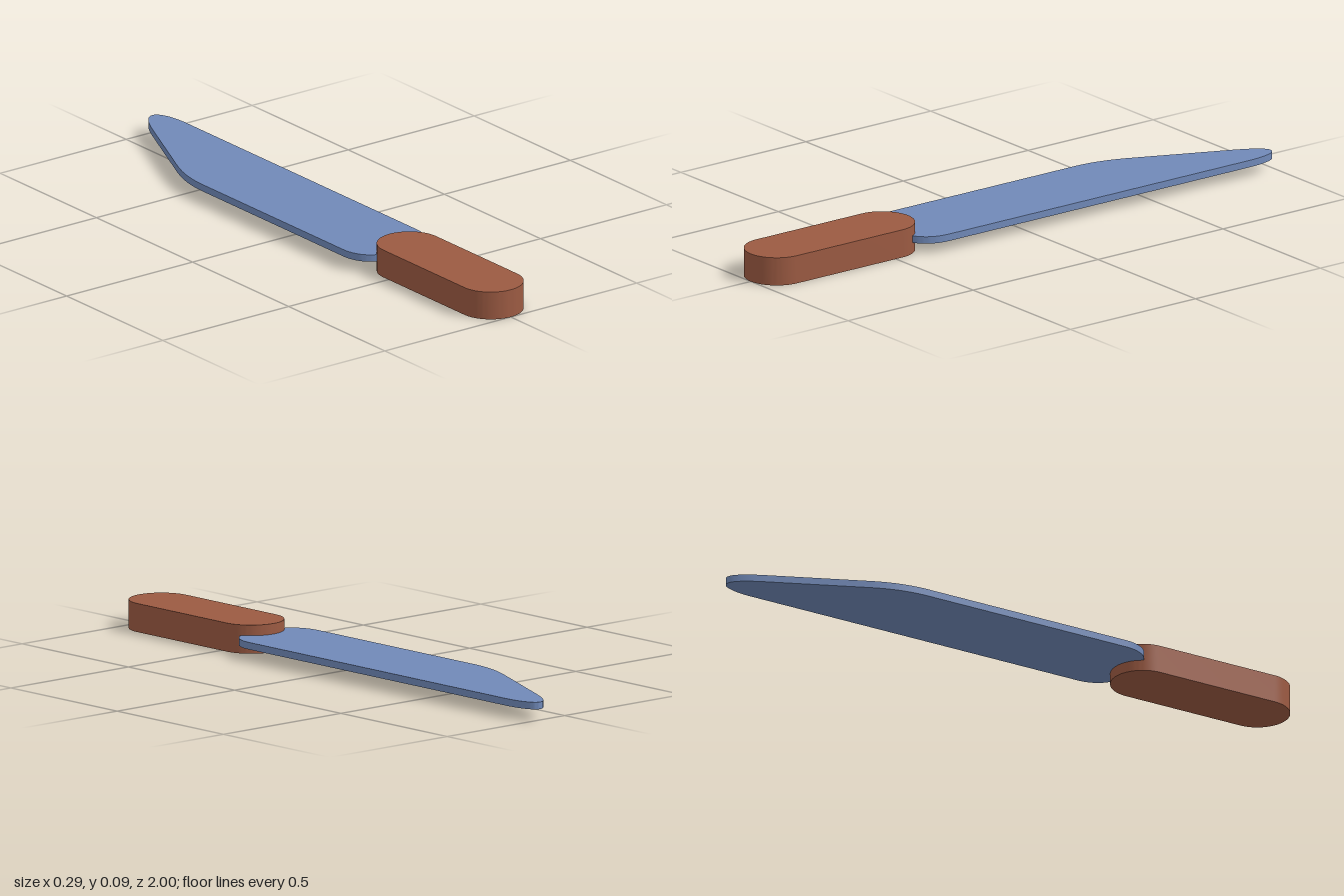
import * as THREE from 'three';
import { toCreasedNormals } from 'three/addons/utils/BufferGeometryUtils.js';

// Extrude a plan outline (x, -z) upward from y0 to y1
function slab(name, shape, y0, y1, material) {
  const flat = new THREE.ExtrudeGeometry(shape, { depth: y1 - y0, bevelEnabled: false, curveSegments: 20 });
  flat.rotateX(-Math.PI / 2);
  flat.translate(0, y0, 0);
  const mesh = new THREE.Mesh(toCreasedNormals(flat, 0.6), material);
  mesh.name = name;
  return mesh;
}

export function createModel() {
  const group = new THREE.Group();
  group.name = 'knife';

  const steel = new THREE.MeshStandardMaterial({ color: 0x7089b8 });
  steel.name = 'blue steel';
  const wood = new THREE.MeshStandardMaterial({ color: 0x9b5a42 });
  wood.name = 'brown wood';

  // Blade: straight spine on +x, sloped cutting tip on -x, rounded heel
  const w = 0.147;
  const blade = new THREE.Shape();
  blade.moveTo(w, -0.32);
  blade.lineTo(w, 0.88);
  blade.bezierCurveTo(w, 0.95, 0.13, 1.0, 0.105, 1.0);
  blade.bezierCurveTo(0.08, 1.0, 0.055, 0.96, 0.03, 0.905);
  blade.lineTo(-0.1, 0.61);
  blade.bezierCurveTo(-0.125, 0.555, -w, 0.49, -w, 0.41);
  blade.lineTo(-w, -0.32);
  blade.bezierCurveTo(-w, -0.385, -0.11, -0.43, -0.05, -0.43);
  blade.lineTo(0.05, -0.43);
  blade.bezierCurveTo(0.11, -0.43, w, -0.385, w, -0.32);
  group.add(slab('blade', blade, 0.035, 0.058, steel));

  // Handle: thick bar with fully rounded ends
  const r = 0.104;
  const handle = new THREE.Shape();
  handle.absarc(0, -0.37 - r, r, 0, Math.PI, false);
  handle.absarc(0, -1 + r, r, Math.PI, Math.PI * 2, false);
  handle.closePath();
  group.add(slab('handle', handle, 0, 0.092, wood));

  return group;
}
